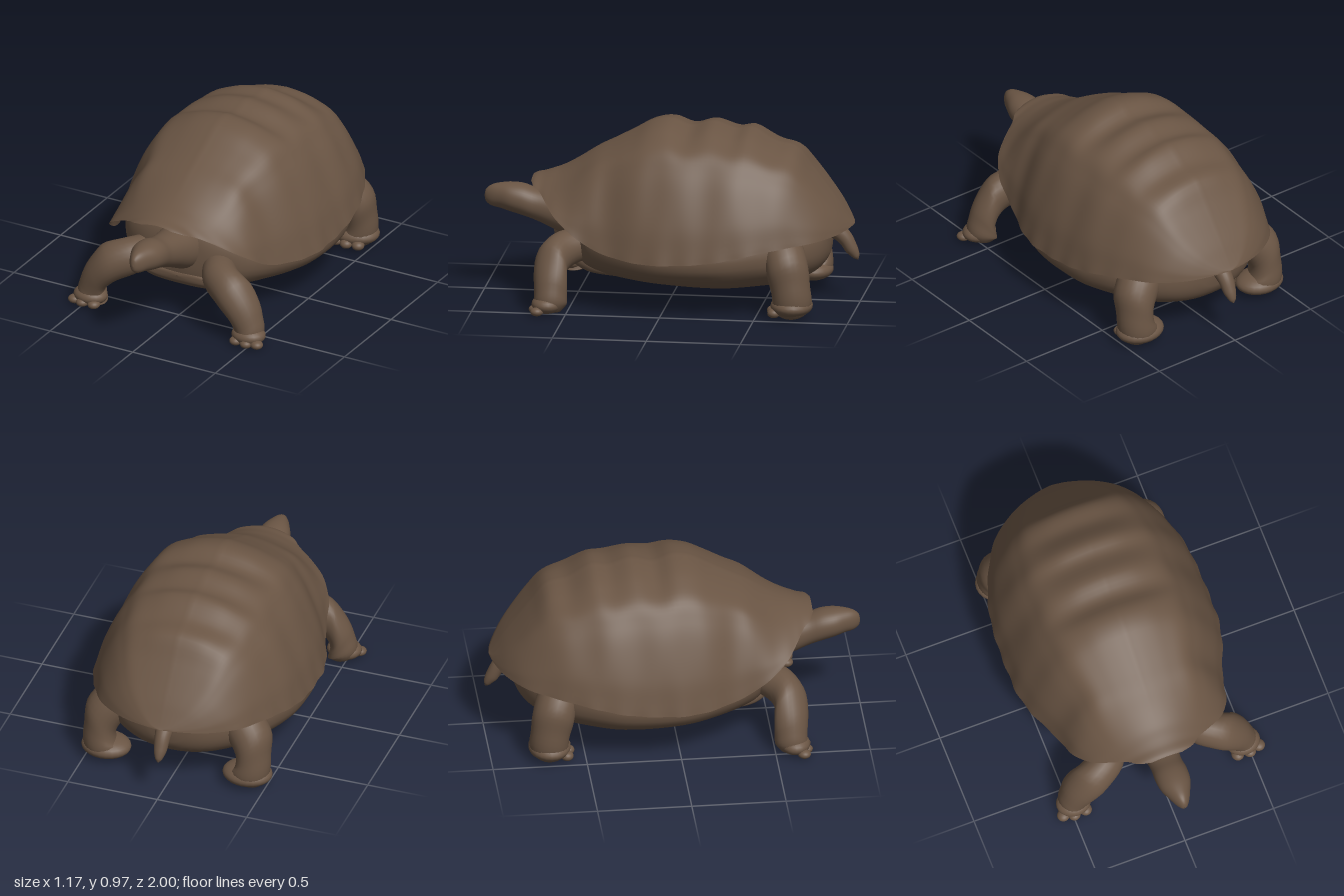
import * as THREE from 'three';
import { mergeVertices } from 'three/addons/utils/BufferGeometryUtils.js';

// Smooth lookup in a table of rows [key, a, b, ...] with falling keys
function sample(rows, key) {
  let i = 0;
  while (i < rows.length - 2 && key < rows[i + 1][0]) i++;
  const r = (k) => rows[Math.min(rows.length - 1, Math.max(0, k))];
  const [p, a, b, q] = [r(i - 1), r(i), r(i + 1), r(i + 2)];
  const h = b[0] - a[0];
  const t = THREE.MathUtils.clamp((key - a[0]) / h, 0, 1), t2 = t * t, t3 = t2 * t;
  return a.slice(1).map((_, n) => {
    const k = n + 1;
    const ma = ((b[k] - p[k]) / (b[0] - p[0])) * h;
    const mb = ((q[k] - a[k]) / (q[0] - a[0])) * h;
    return (2 * t3 - 3 * t2 + 1) * a[k] + (t3 - 2 * t2 + t) * ma
      + (3 * t2 - 2 * t3) * b[k] + (t3 - t2) * mb;
  });
}

// Grid surface from a function of u and v in 0..1, with welded smooth normals
function surface(fn, nu, nv) {
  const pos = [], index = [];
  for (let i = 0; i <= nu; i++)
    for (let j = 0; j <= nv; j++) pos.push(...fn(i / nu, j / nv));
  for (let i = 0; i < nu; i++)
    for (let j = 0; j < nv; j++) {
      const a = i * (nv + 1) + j, b = a + nv + 1;
      index.push(a, b, a + 1, b, b + 1, a + 1);
    }
  let g = new THREE.BufferGeometry();
  g.setAttribute('position', new THREE.Float32BufferAttribute(pos, 3));
  g.setIndex(index);
  g = mergeVertices(g, 1e-5);
  g.computeVertexNormals();
  return g;
}

const along = (rows, u) => {
  const z0 = rows[0][0], z1 = rows[rows.length - 1][0];
  return z0 + (z1 - z0) * (1 - Math.cos(Math.PI * u)) / 2;
};

// Rounded body lofted along z; rows are [z, halfWidth, bottom, top]
function loft(rows, power = 1) {
  const bend = (s) => Math.sign(s) * Math.abs(s) ** power;
  return surface((u, v) => {
    const z = along(rows, u);
    const [w, lo, hi] = sample(rows, z);
    const a = (v % 1) * Math.PI * 2;
    return [w * bend(Math.cos(a)), (lo + hi) / 2 + (hi - lo) / 2 * bend(Math.sin(a)), z];
  }, 48, 40);
}

// Limb swept along a curve; points are [x, y, z, radius]
function limb(points) {
  const curve = new THREE.CatmullRomCurve3(points.map((p) => new THREE.Vector3(...p.slice(0, 3))));
  const n = 28, frames = curve.computeFrenetFrames(n);
  const radii = points.map((p, i) => [-i, p[3]]);
  return surface((u, v) => {
    const c = curve.getPoint(u), i = Math.round(u * n);
    const r = Math.max(0.002, sample(radii, -u * (points.length - 1))[0]);
    const a = -(v % 1) * Math.PI * 2;
    return c.addScaledVector(frames.normals[i], r * Math.cos(a))
      .addScaledVector(frames.binormals[i], r * Math.sin(a)).toArray();
  }, n, 24);
}

// Shell rows: [z, half width of rim, height of rim, height of crest, knob on the crest]
const SHELL = [
  [0.74, 0.085, 0.625, 0.638, 0], [0.72, 0.15, 0.612, 0.646, 0], [0.68, 0.2, 0.592, 0.655, 0],
  [0.64, 0.275, 0.557, 0.668, 0], [0.58, 0.37, 0.5, 0.69, 0], [0.5, 0.425, 0.44, 0.735, 0],
  [0.4, 0.455, 0.375, 0.8, 0], [0.3, 0.48, 0.335, 0.852, 0], [0.2, 0.52, 0.318, 0.9, 0.006],
  [0.1, 0.553, 0.308, 0.94, 0.02], [0, 0.572, 0.308, 0.952, 0.023], [-0.1, 0.574, 0.312, 0.945, -0.006],
  [-0.22, 0.574, 0.322, 0.938, 0.028], [-0.34, 0.567, 0.34, 0.922, 0.008], [-0.43, 0.555, 0.36, 0.905, 0.034],
  [-0.55, 0.52, 0.383, 0.865, 0.005], [-0.67, 0.465, 0.4, 0.815, 0.022], [-0.75, 0.42, 0.408, 0.735, 0],
  [-0.83, 0.35, 0.415, 0.63, 0], [-0.89, 0.265, 0.42, 0.55, 0], [-0.93, 0.18, 0.425, 0.49, 0],
  [-0.96, 0.08, 0.43, 0.445, 0], [-0.97, 0.01, 0.43, 0.432, 0],
];
// Half cross-section from crest to rim: [key, width share, height share]
const SECTION = [
  [1, 0, 1], [0.87, 0.17, 0.98], [0.75, 0.36, 0.94], [0.62, 0.57, 0.865],
  [0.48, 0.7, 0.725], [0.36, 0.8, 0.56], [0.2, 0.92, 0.29], [0.07, 0.98, 0.08], [0, 1, 0],
];

function shell(inner) {
  return surface((u, v) => {
    const z = along(SHELL, u);
    const [w, rim, crest, knob] = sample(SHELL, z);
    const s = (inner ? -1 : 1) * (1 - 2 * v);
    const k = 1 - Math.abs(s);
    const [x, boxy] = sample(SECTION, k);
    // The front lip is a plain arch
    const y = THREE.MathUtils.lerp(boxy, 1 - x * x, THREE.MathUtils.smoothstep(z, 0.35, 0.65));
    // Raised scutes on the crest, swollen ones down the sides, and a wavy rim
    const lift = knob * THREE.MathUtils.smoothstep(k, 0.5, 0.85);
    const side = Math.sin(Math.PI * Math.min(1, k / 0.85)) ** 2;
    const puff = 1 + 0.012 * side * Math.cos((z + 0.1) * 24);
    const wave = 1 + 0.006 * Math.cos(z * 40) * (1 - k) ** 8;
    const drop = inner ? Math.min(0.04, (crest - rim) * 0.45) : 0;
    return [Math.sign(s) * x * w * puff * wave * (inner ? 1 - 0.05 * k : 1),
      rim + (crest - rim - drop) * y + lift, z];
  }, 110, 72);
}

export function createModel() {
  const model = new THREE.Group();
  const brown = new THREE.MeshStandardMaterial({ color: 0x6a5544 });
  brown.name = 'earthBrown';
  const add = (name, geometry, parent = model) => {
    const mesh = new THREE.Mesh(geometry, brown);
    mesh.name = name;
    parent.add(mesh);
    return mesh;
  };
  const blob = (name, parent, [x, y, z], [a, b, c], turn = 0) => {
    const m = add(name, new THREE.SphereGeometry(1, 24, 16), parent);
    m.position.set(x, y, z);
    m.scale.set(a, b, c);
    m.rotation.y = turn;
  };

  add('shell', shell(false));
  add('shellUnderside', shell(true));

  // Belly, with the soft skin of the openings at both ends
  add('belly', loft([
    [0.52, 0.005, 0.33, 0.335], [0.51, 0.15, 0.235, 0.45], [0.47, 0.27, 0.19, 0.53],
    [0.4, 0.37, 0.16, 0.55], [0.2, 0.49, 0.132, 0.53], [0, 0.555, 0.118, 0.51],
    [-0.3, 0.555, 0.103, 0.54], [-0.5, 0.49, 0.115, 0.55], [-0.65, 0.4, 0.135, 0.53],
    [-0.75, 0.3, 0.17, 0.5], [-0.81, 0.2, 0.215, 0.46], [-0.845, 0.09, 0.28, 0.42],
    [-0.85, 0.005, 0.345, 0.35],
  ], 0.88));
  // Front shelf of the belly plate
  add('bellyPlateLip', loft([
    [0.52, 0.005, 0.245, 0.25], [0.515, 0.16, 0.22, 0.265], [0.49, 0.215, 0.19, 0.278],
    [0.4, 0.28, 0.16, 0.275], [0.25, 0.3, 0.145, 0.26],
  ], 0.7));

  // Head and neck
  add('headAndNeck', loft([
    [1, 0.002, 0.512, 0.516], [0.995, 0.015, 0.487, 0.545], [0.965, 0.038, 0.462, 0.572],
    [0.92, 0.06, 0.452, 0.585], [0.86, 0.084, 0.435, 0.591], [0.79, 0.09, 0.415, 0.585],
    [0.72, 0.085, 0.39, 0.562], [0.62, 0.098, 0.345, 0.55], [0.52, 0.12, 0.295, 0.545],
    [0.4, 0.14, 0.26, 0.52],
  ], 0.95));

  // Tail
  add('tail', limb([
    [0, 0.42, -0.76, 0.055], [0, 0.4, -0.86, 0.052], [0, 0.35, -0.92, 0.042],
    [0, 0.29, -0.955, 0.034], [0, 0.25, -0.98, 0.018], [0, 0.235, -0.988, 0.002],
  ]));

  // Legs and feet, mirrored left and right
  for (const side of [1, -1]) {
    const name = side > 0 ? 'left' : 'right';
    const path = (pts) => pts.map(([x, ...rest]) => [x * side, ...rest]);

    const front = new THREE.Group();
    front.name = name + 'FrontLeg';
    model.add(front);
    add('frontLimb', limb(path([
      [0.19, 0.33, 0.42, 0.08], [0.28, 0.305, 0.54, 0.1], [0.38, 0.26, 0.585, 0.105],
      [0.445, 0.18, 0.588, 0.097], [0.47, 0.1, 0.583, 0.087], [0.475, 0.05, 0.585, 0.085],
      [0.475, 0.02, 0.585, 0.055], [0.475, 0.012, 0.585, 0.002],
    ])), front);
    blob('frontFoot', front, [0.478 * side, 0.058, 0.603], [0.094, 0.05, 0.08]);
    for (const [x, z, turn] of [[0.43, 0.655, 0], [0.495, 0.66, 0.3], [0.55, 0.645, 0.9]])
      blob('frontClaw', front, [x * side, 0.032, z], [0.034, 0.024, 0.036], side * turn);

    const rear = new THREE.Group();
    rear.name = name + 'RearLeg';
    model.add(rear);
    add('rearLimb', limb(path([
      [0.28, 0.38, -0.58, 0.1], [0.36, 0.34, -0.64, 0.115], [0.425, 0.25, -0.675, 0.112],
      [0.425, 0.16, -0.69, 0.104], [0.41, 0.085, -0.695, 0.105], [0.4, 0.045, -0.695, 0.09],
      [0.4, 0.022, -0.695, 0.05], [0.4, 0.018, -0.695, 0.002],
    ])), rear);
    blob('rearFoot', rear, [0.395 * side, 0.075, -0.69], [0.135, 0.058, 0.112]);
    for (const [x, z] of [[0.33, -0.605], [0.395, -0.592], [0.46, -0.603]])
      blob('rearClaw', rear, [x * side, 0.045, z], [0.034, 0.026, 0.034]);
  }
  return model;
}
